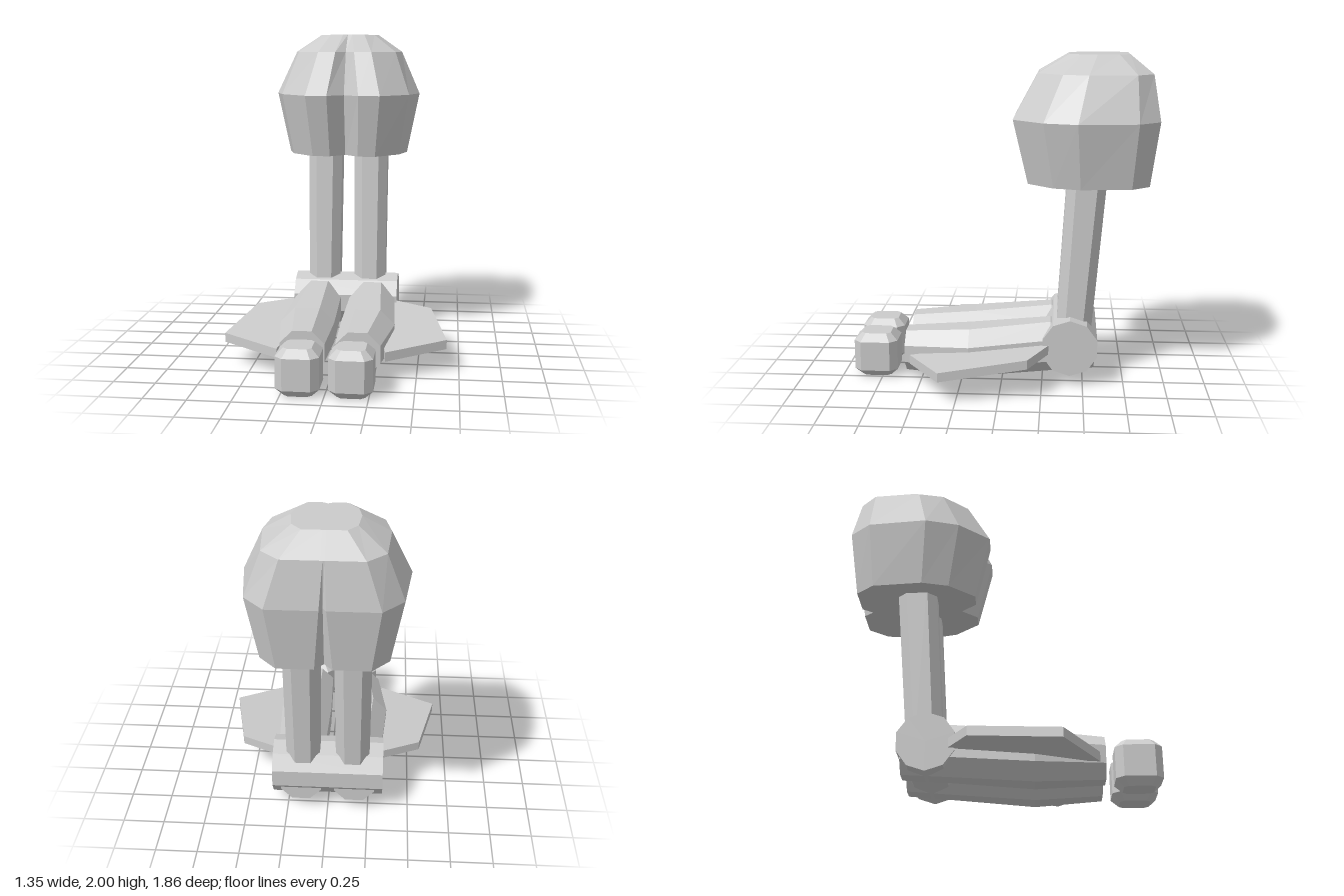
import * as THREE from 'three';

const material = new THREE.MeshStandardMaterial({ color: 0xcccccc, flatShading: true });

// Skins a stack of equal-length rings of [x, y, z] and closes both ends.
function loft(name, rings) {
  const tris = [];
  const n = rings[0].length;
  const centre = (r) => [0, 1, 2].map((k) => r.reduce((s, p) => s + p[k], 0) / n);
  const first = centre(rings[0]);
  const last = centre(rings[rings.length - 1]);
  for (let j = 0; j < n; j++) {
    const k = (j + 1) % n;
    for (let i = 0; i < rings.length - 1; i++) {
      const a = rings[i], b = rings[i + 1];
      tris.push([a[j], a[k], b[k]], [a[j], b[k], b[j]]);
    }
    const end = rings[rings.length - 1];
    tris.push([first, rings[0][k], rings[0][j]], [last, end[j], end[k]]);
  }
  // Turn the corners round when the solid is inside out (mirrored parts).
  let volume = 0;
  for (const [a, b, c] of tris) {
    volume += new THREE.Vector3(...a).dot(new THREE.Vector3(...b).cross(new THREE.Vector3(...c)));
  }
  if (volume < 0) tris.forEach((t) => t.reverse());
  const geometry = new THREE.BufferGeometry();
  geometry.setAttribute('position', new THREE.Float32BufferAttribute(tris.flat(2), 3));
  geometry.computeVertexNormals();
  const mesh = new THREE.Mesh(geometry, material);
  mesh.name = name;
  return mesh;
}

// Rectangle with cut corners, as [u, v] pairs.
function octagon(u0, u1, v0, v1, c) {
  return [
    [u0 + c, v0], [u1 - c, v0], [u1, v0 + c], [u1, v1 - c],
    [u1 - c, v1], [u0 + c, v1], [u0, v1 - c], [u0, v0 + c],
  ];
}

// Horizontal ring from a half outline running front to back, mirrored in x.
function mirroredRing(y, half) {
  const right = half.slice(1, -1).reverse().map(([x, z]) => [-x, z]);
  return [...half, ...right].map(([x, z]) => [x, y, z]);
}

export function createModel() {
  const model = new THREE.Group();

  // Faceted upper body with a cleft at the front and the back
  model.add(loft('upperBody', [
    mirroredRing(1.23, [[0, -0.25], [0.09, -0.155], [0.2, -0.155], [0.345, -0.31], [0.39, -0.47],
      [0.36, -0.77], [0.26, -0.88], [0.05, -0.88], [0, -0.82]]),
    mirroredRing(1.62, [[0, -0.16], [0.1, -0.065], [0.235, -0.065], [0.41, -0.25], [0.47, -0.45],
      [0.43, -0.8], [0.31, -0.93], [0.02, -0.93], [0, -0.9]]),
    mirroredRing(1.89, [[0, -0.28], [0.06, -0.21], [0.17, -0.21], [0.315, -0.36], [0.35, -0.51],
      [0.33, -0.79], [0.225, -0.89], [0.01, -0.89], [0, -0.89]]),
    mirroredRing(2, [[0, -0.41], [0.03, -0.395], [0.11, -0.395], [0.17, -0.47], [0.19, -0.56],
      [0.175, -0.69], [0.12, -0.755], [0.01, -0.755], [0, -0.755]]),
  ]));

  // Crosswise hinge
  const hinge = new THREE.CylinderGeometry(0.175, 0.175, 0.68, 10, 1, false, Math.PI / 2);
  hinge.rotateZ(Math.PI / 2);
  const hingeMesh = new THREE.Mesh(hinge, material);
  hingeMesh.name = 'hinge';
  hingeMesh.position.set(0, 0.24, -0.42);
  model.add(hingeMesh);

  for (const [side, s] of [['left', 1], ['right', -1]]) {
    // Leaning upright post
    model.add(loft(side + 'Post', [
      [0.25, 0.05, 0.255, -0.545, -0.33], [1.3, 0.04, 0.262, -0.635, -0.395],
    ].map(([y, x0, x1, z0, z1]) =>
      octagon(x0, x1, z0, z1, 0.055).map(([x, z]) => [s * x, y, z]))));

    // Lower limb, widest a little past the middle
    model.add(loft(side + 'Limb', [
      [0.6, 0.03, 0.295, 0.04, 0.295, 0.075],
      [0.2, 0.02, 0.355, 0.02, 0.325, 0.09],
      [-0.3, 0.03, 0.325, 0.06, 0.375, 0.09],
      [-0.57, 0.04, 0.29, 0.08, 0.25, 0.07],
    ].map(([z, x0, x1, y0, y1, c]) =>
      octagon(x0, x1, y0, y1, c).map(([x, y]) => [s * x, y, z]))));

    // Thin sloping side fin
    const fin = [[0.32, 0.565], [0.675, 0.35], [0.57, -0.17], [0.34, -0.29], [0.29, -0.29], [0.31, 0.5]];
    model.add(loft(side + 'Fin', [-0.028, 0.028].map((d) =>
      fin.map(([x, z]) => [s * x, 0.2 - 0.1 * z + d, z]))));

    // Chamfered foot block
    model.add(loft(side + 'Foot', [
      [0, 0.045, 0.025], [0.045, 0, 0.045], [0.23, 0, 0.045], [0.275, 0.045, 0.025],
    ].map(([y, inset, c]) =>
      octagon(0.025 + inset, 0.275 - inset, 0.655 + inset, 0.925 - inset, c)
        .map(([x, z]) => [s * x, y, z]))));
  }
  return model;
}
